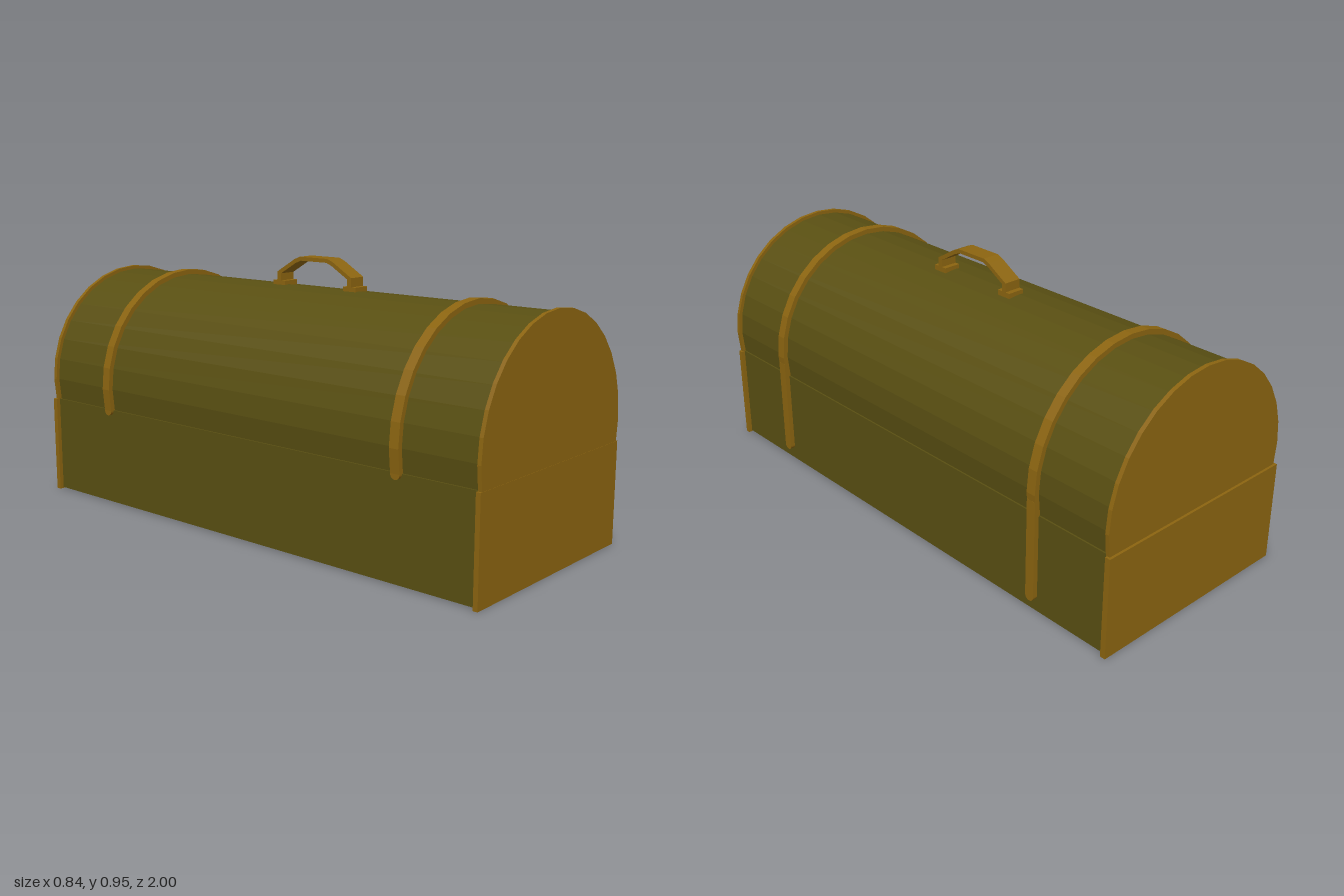
import * as THREE from 'three';

const leather = new THREE.MeshStandardMaterial({ color: 0x8b6410, flatShading: true });
const olive = new THREE.MeshStandardMaterial({ color: 0x594f12, flatShading: true });

const CY = 0.445;            // height of the lid's arc centre
const SEGS = 18;             // facets across the lid
const OVER = Math.PI / 16;   // how far the arc runs past its centre line
const SEAM = 0.365;          // where lid and base meet
const STRAP_W = 0.036;

// Points along the lid's arc, from +x over the top to -x
function arc(r) {
  const pts = [];
  for (let i = 0; i <= SEGS; i++) {
    const a = -OVER + (i / SEGS) * (Math.PI + 2 * OVER);
    pts.push(new THREE.Vector2(r * Math.cos(a), CY + r * Math.sin(a)));
  }
  return pts;
}

// Extrude a front-facing outline between two z positions
function slab(points, z0, z1) {
  const geo = new THREE.ExtrudeGeometry(new THREE.Shape(points), { depth: z1 - z0, bevelEnabled: false });
  return geo.translate(0, 0, z0);
}

function lidOutline(r) {
  const pts = arc(r);
  pts[0].y = pts[SEGS].y = SEAM;
  return pts;
}

function add(group, name, geo, mat) {
  const mesh = new THREE.Mesh(geo, mat);
  mesh.name = name;
  group.add(mesh);
  return mesh;
}

function box(x0, x1, y0, y1, z0, z1) {
  return new THREE.BoxGeometry(x1 - x0, y1 - y0, z1 - z0)
    .translate((x0 + x1) / 2, (y0 + y1) / 2, (z0 + z1) / 2);
}

// Upright tongue with a rounded lower end, thickness along x
function tongue(yTop, yBottom, thickness) {
  const r = STRAP_W / 2;
  const s = new THREE.Shape();
  s.moveTo(r, yTop);
  s.lineTo(-r, yTop);
  s.lineTo(-r, yBottom + r);
  s.absarc(0, yBottom + r, r, Math.PI, Math.PI * 2, false);
  s.closePath();
  return new THREE.ExtrudeGeometry(s, { depth: thickness, bevelEnabled: false, curveSegments: 8 })
    .rotateY(Math.PI / 2);
}

function makeStrap(z) {
  const g = new THREE.Group();
  g.name = 'strap';
  // band over the lid
  const band = [...arc(0.42), ...arc(0.395).reverse()];
  add(g, 'lidStrap', slab(band, -STRAP_W / 2, STRAP_W / 2), leather);
  // rounded end on one side, long tongue down the base on the other
  add(g, 'strapEnd', tongue(SEAM + 0.005, 0.345, 0.022), leather).position.x = -0.412;
  add(g, 'baseStrap', tongue(0.42, 0.045, 0.022), leather).position.x = 0.396;
  g.position.z = z;
  return g;
}

function makeHandle() {
  const g = new THREE.Group();
  g.name = 'handle';
  const W = 0.066;
  // feet and short posts
  for (const s of [-1, 1]) {
    const c = s * 0.165;
    add(g, 'handleFoot', box(-W / 2, W / 2, 0.835, 0.861, c - 0.028, c + 0.028), leather);
    add(g, 'handlePost', box(-W / 2, W / 2, 0.855, 0.889, c - 0.009, c + 0.009), leather);
  }
  // bent grip, outlined as (z, y)
  const half = [[0.174, 0.878], [0.174, 0.893], [0.09, 0.943], [0.065, 0.953]];
  const inner = [[0.06, 0.939], [0.085, 0.929], [0.158, 0.886], [0.158, 0.878]];
  const mirror = (list) => list.map(([z, y]) => [-z, y]).reverse();
  const outline = [...half, ...mirror(half), ...mirror(inner), ...inner];
  const geo = slab(outline.map(([z, y]) => new THREE.Vector2(z, y)), -W / 2, W / 2).rotateY(-Math.PI / 2);
  add(g, 'handleGrip', geo, leather);
  g.position.set(0.015, 0, 0.012);
  return g;
}

export function createModel() {
  const model = new THREE.Group();
  model.name = 'domedTrunk';

  // body
  add(model, 'base', box(-0.4, 0.4, 0.004, SEAM, -0.985, 0.985), olive);
  add(model, 'lid', slab(lidOutline(0.402), -0.982, 0.985), olive);

  // end panels
  add(model, 'frontBasePanel', box(-0.415, 0.415, 0, SEAM, 0.983, 1), leather);
  add(model, 'frontLidPanel', slab(lidOutline(0.415), 0.985, 0.999), leather);
  add(model, 'backBasePanel', box(-0.415, 0.415, 0, SEAM, -1, -0.98), leather);
  add(model, 'backLidPanel', slab(lidOutline(0.415), -0.991, -0.976), leather);

  // straps and handle
  for (const z of [0.686, -0.671]) model.add(makeStrap(z));
  model.add(makeHandle());
  return model;
}
